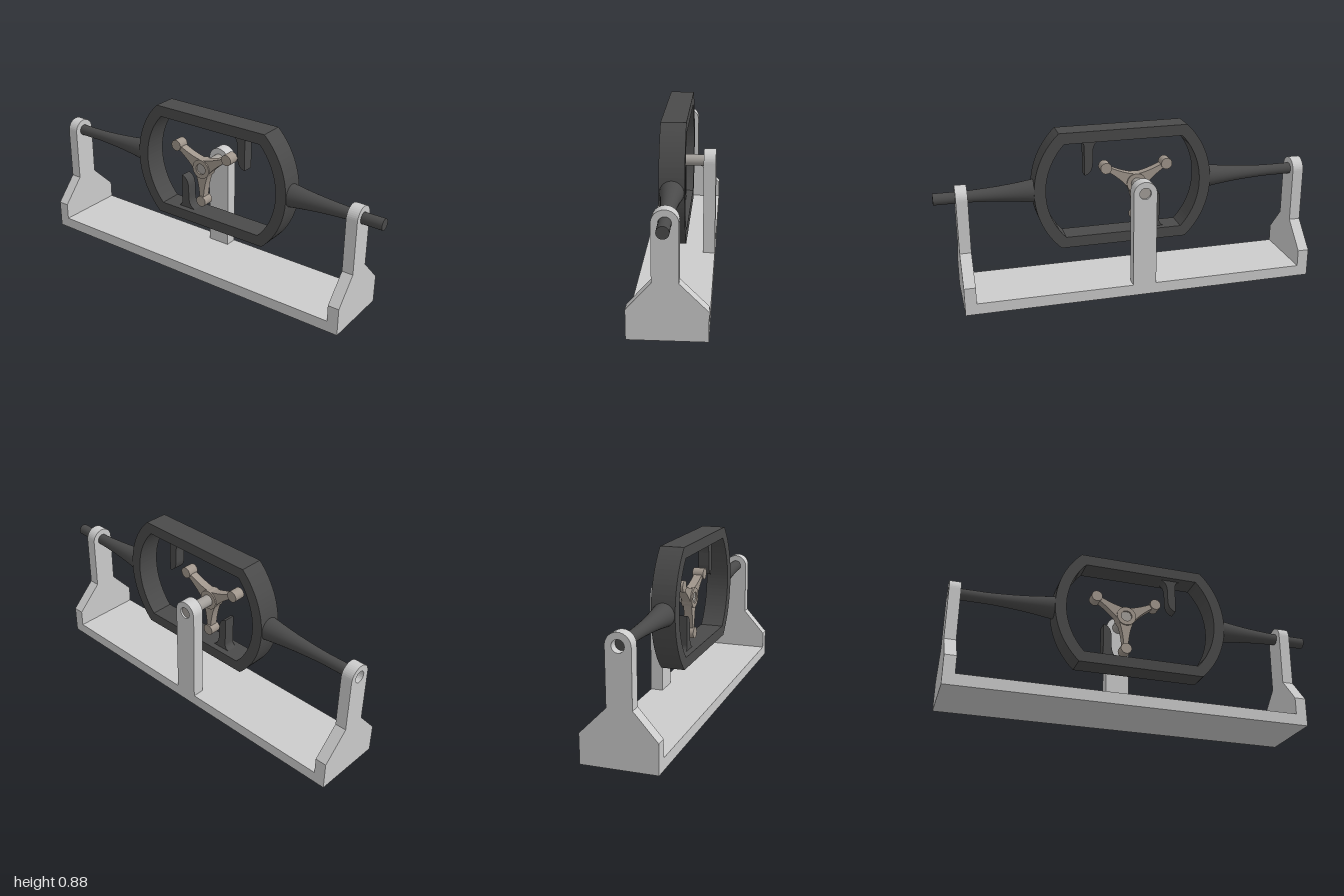
import * as THREE from 'three';

const CY = 0.57, CZ = 0.008;          // height and depth of the turning axis
const RING_X = 0.02, POST_X = -0.057; // ring centre, spinner axis

const grey = new THREE.MeshStandardMaterial({ color: 0xcccccc });
const dark = new THREE.MeshStandardMaterial({ color: 0x4a4a4a });
const darkSmooth = new THREE.MeshStandardMaterial({ color: 0x4a4a4a, side: THREE.DoubleSide });
const bronze = new THREE.MeshStandardMaterial({ color: 0xa0968c });
const steel = new THREE.MeshStandardMaterial({ color: 0xa39f9a });

function add(parent, name, geometry, material, x = 0, y = 0, z = 0) {
  const mesh = new THREE.Mesh(geometry, material);
  mesh.name = name;
  mesh.position.set(x, y, z);
  parent.add(mesh);
  return mesh;
}

// Extrusion centred on its own depth
function slab(shape, depth, curveSegments = 12) {
  const g = new THREE.ExtrudeGeometry(shape, { depth, bevelEnabled: false, curveSegments });
  return g.translate(0, 0, -depth / 2);
}

function circleHole(x, y, r) {
  const p = new THREE.Path();
  p.absarc(x, y, r, 0, Math.PI * 2, true);
  return p;
}

// Flat top and bottom joined by bulging arcs at both ends
function stadium(target, halfHeight, radius, offset) {
  const a = Math.asin(halfHeight / radius);
  target.absarc(offset, 0, radius, -a, a, false);
  target.absarc(-offset, 0, radius, Math.PI - a, Math.PI + a, false);
  target.closePath();
  return target;
}

function disc(r, depth, segments = 24) {
  return new THREE.CylinderGeometry(r, r, depth, segments).rotateX(Math.PI / 2);
}

// Wide-footed end bracket, drawn with shape x = -z
function bracketGeometry() {
  const s = new THREE.Shape();
  const w = 0.0625;
  s.moveTo(-0.19, 0);
  s.lineTo(0.19, 0);
  s.lineTo(0.19, 0.15);
  s.lineTo(w - CZ, 0.285);
  s.lineTo(w - CZ, CY);
  s.absarc(-CZ, CY, w, 0, Math.PI, false);
  s.lineTo(-w - CZ, 0.285);
  s.lineTo(-0.19, 0.15);
  s.closePath();
  s.holes.push(circleHole(-CZ, CY, 0.031));
  return slab(s, 0.06, 10).rotateY(Math.PI / 2);
}

// Round-topped post behind the ring
function postGeometry() {
  const s = new THREE.Shape();
  const w = 0.0625;
  s.moveTo(-w, 0.06);
  s.lineTo(w, 0.06);
  s.lineTo(w, CY);
  s.absarc(0, CY, w, 0, Math.PI, false);
  s.closePath();
  s.holes.push(circleHole(0, CY, 0.031));
  return slab(s, 0.065);
}

// Shaft flaring out towards the ring, running along +x
function shaftGeometry() {
  const flare = new THREE.SplineCurve([
    [0.062, 0.43], [0.06, 0.475], [0.049, 0.56], [0.039, 0.66], [0.032, 0.77], [0.03, 0.83],
  ].map(p => new THREE.Vector2(...p))).getPoints(16);
  const profile = [new THREE.Vector2(0, 0.43), ...flare, new THREE.Vector2(0.03, 0.98)];
  const g = new THREE.LatheGeometry(profile, 28);
  return g.rotateZ(-Math.PI / 2);
}

// Curved finger hanging from the top of the ring (ring-centred coordinates)
function pawlGeometry() {
  const s = new THREE.Shape();
  s.moveTo(0.117, 0.262);
  s.lineTo(0.117, 0.255);
  s.quadraticCurveTo(0.155, 0.245, 0.158, 0.195);
  s.lineTo(0.16, 0.125);
  s.quadraticCurveTo(0.165, 0.075, 0.204, 0.068);
  s.lineTo(0.204, 0.225);
  s.quadraticCurveTo(0.206, 0.25, 0.232, 0.255);
  s.lineTo(0.232, 0.262);
  s.closePath();
  return slab(s, 0.06);
}

// Three tapering arms blended into one outline
function spinnerGeometry() {
  const at = (angle, u, v) => [
    u * Math.cos(angle) - v * Math.sin(angle),
    u * Math.sin(angle) + v * Math.cos(angle),
  ];
  const s = new THREE.Shape();
  for (let i = 0; i < 3; i++) {
    const a = Math.PI / 6 + i * Math.PI * 2 / 3;
    if (i === 0) s.moveTo(...at(a - Math.PI / 3, 0.05, 0));
    s.quadraticCurveTo(...at(a, 0.075, -0.02), ...at(a, 0.17, -0.012));
    s.lineTo(...at(a, 0.17, 0.012));
    s.quadraticCurveTo(...at(a, 0.075, 0.02), ...at(a + Math.PI / 3, 0.05, 0));
  }
  s.holes.push(circleHole(0, 0, 0.028));
  return slab(s, 0.045);
}

export function createModel() {
  const model = new THREE.Group();
  model.name = 'ratchetStand';

  // Stand
  const stand = new THREE.Group();
  stand.name = 'stand';
  model.add(stand);
  add(stand, 'basePlate', new THREE.BoxGeometry(1.77, 0.06, 0.38), grey, -0.055, 0.03, 0);
  const bracket = bracketGeometry();
  add(stand, 'rightBracket', bracket, grey, -0.97);
  add(stand, 'leftBracket', bracket, grey, 0.86);
  add(stand, 'rearPost', postGeometry(), grey, POST_X, 0, -0.1575);

  // Ring with its two shafts and two pawls
  const slider = new THREE.Group();
  slider.name = 'slidingRing';
  slider.position.set(RING_X, CY, CZ);
  model.add(slider);
  const ring = stadium(new THREE.Shape(), 0.3125, 0.429, 0.046);
  ring.holes.push(stadium(new THREE.Path(), 0.254, 0.369, 0.046));
  add(slider, 'ring', slab(ring, 0.125, 14), dark);
  const shaft = shaftGeometry();
  const pawl = pawlGeometry();
  for (const [side, turn] of [['left', 0], ['right', Math.PI]]) {
    const half = new THREE.Group();
    half.name = side + 'Half';
    half.rotation.z = turn;
    slider.add(half);
    add(half, side + 'Shaft', shaft, darkSmooth);
    const cap = new THREE.CircleGeometry(0.03, 28).rotateY(Math.PI / 2);
    add(half, side + 'ShaftEnd', cap, dark, 0.98);
    add(half, side + 'Pawl', pawl, dark);
  }

  // Three-armed spinner on its pin
  const spinner = new THREE.Group();
  spinner.name = 'spinner';
  spinner.position.set(POST_X, CY, CZ);
  model.add(spinner);
  add(spinner, 'spinnerArms', spinnerGeometry(), bronze);
  const hub = new THREE.Shape();
  hub.absarc(0, 0, 0.053, 0, Math.PI * 2, false);
  hub.holes.push(circleHole(0, 0, 0.03));
  add(spinner, 'hub', slab(hub, 0.06), bronze);
  for (let i = 0; i < 3; i++) {
    const a = Math.PI / 6 + i * Math.PI * 2 / 3;
    add(spinner, 'armTip', disc(0.03, 0.06), bronze, 0.19 * Math.cos(a), 0.19 * Math.sin(a));
  }
  add(model, 'pin', disc(0.0305, 0.21), steel, POST_X, CY, -0.075);

  return model;
}
